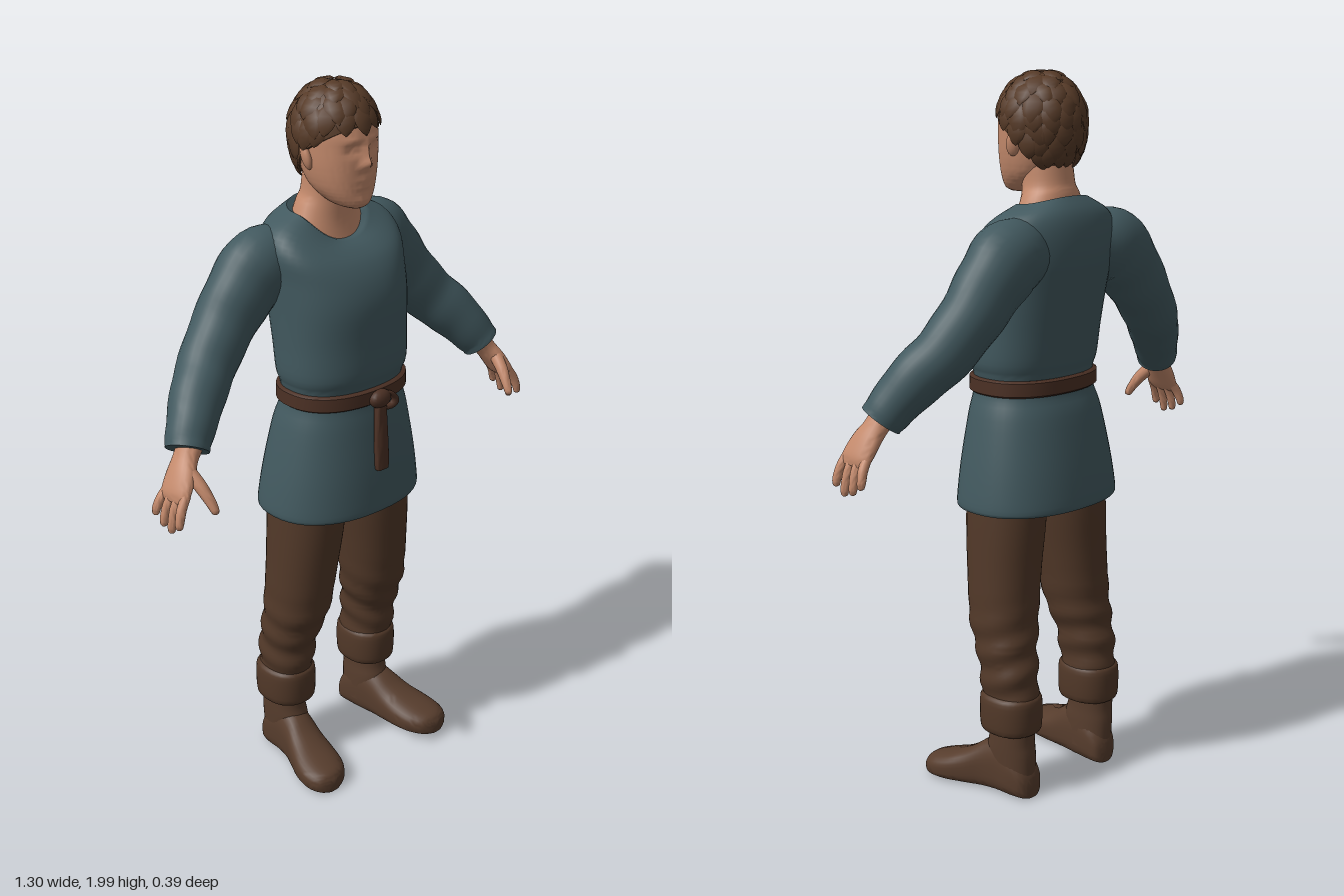
import * as THREE from 'three';
import { mergeGeometries, toCreasedNormals } from 'three/addons/utils/BufferGeometryUtils.js';

const mat = (name, color) => Object.assign(new THREE.MeshStandardMaterial({ color }), { name });
const V = (x, y, z) => new THREE.Vector3(x, y, z);

// Smooth interpolation of rows of numbers, n steps per span
function spline(rows, n) {
  const out = [], at = i => rows[Math.min(Math.max(i, 0), rows.length - 1)];
  for (let i = 0; i < rows.length - 1; i++) for (let k = 0; k < n; k++) {
    const t = k / n;
    out.push(rows[i].map((b, j) => {
      const a = at(i - 1)[j], c = at(i + 1)[j], d = at(i + 2)[j];
      return b + 0.5 * t * (c - a + t * (2 * a - 5 * b + 4 * c - d + t * (3 * (b - c) + d - a)));
    }));
  }
  out.push(rows[rows.length - 1]);
  return out;
}

// Skin over rings; place(row, angle, index) gives each point, capY lifts the end cap centres
function loft(rows, seg, place, capY = [0, 0], crease = 0.8) {
  const pos = [], idx = [], last = rows.length - 1;
  rows.forEach((r, i) => {
    for (let k = 0; k < seg; k++) pos.push(...place(r, k / seg * Math.PI * 2, i).toArray());
  });
  const id = (i, k) => i * seg + k % seg;
  for (let i = 0; i < last; i++) for (let k = 0; k < seg; k++) {
    idx.push(id(i, k), id(i + 1, k), id(i, k + 1), id(i + 1, k), id(i + 1, k + 1), id(i, k + 1));
  }
  [0, last].forEach((i, e) => {
    const c = [0, 0, 0];
    for (let k = 0; k < seg; k++) for (let j = 0; j < 3; j++) c[j] += pos[id(i, k) * 3 + j] / seg;
    c[1] += capY[e];
    const ci = pos.length / 3;
    pos.push(...c);
    for (let k = 0; k < seg; k++) idx.push(ci, id(i, k + (e ? 1 : 0)), id(i, k + (e ? 0 : 1)));
  });
  const g = new THREE.BufferGeometry();
  g.setAttribute('position', new THREE.Float32BufferAttribute(pos, 3));
  g.setIndex(idx);
  return toCreasedNormals(g, crease);
}

const sq = (v, e) => Math.sign(v) * Math.abs(v) ** (2 / e);

// Level ring: [y, centre x, half width, front z, back z, front drop]
const level = (e = 2.2) => ([y, cx, w, zf, zb, drop = 0], a) => {
  const s = sq(Math.sin(a), e);
  return V(cx + w * sq(Math.cos(a), e), y - (s > 0 ? drop : -drop * 0.25) * s * s, (zf + zb) / 2 + (zf - zb) / 2 * s);
};

// Tube along a path: [x, y, z, thickness radius, z radius]
function sweep(rows, n, seg, wrinkle = 0) {
  const pts = spline(rows, n), at = i => V(...pts[Math.min(Math.max(i, 0), pts.length - 1)].slice(0, 3));
  return loft(pts, seg, (r, a, i) => {
    const t = at(i + 1).sub(at(i - 1)).normalize();
    const v = V(0, 0, 1).addScaledVector(t, -t.z).normalize();
    const u = v.clone().cross(t.clone().negate());
    const f = 1 + wrinkle * Math.sin(i * 1.1 + 2 * Math.sin(a));
    return at(i).addScaledVector(u, r[3] * f * Math.cos(a)).addScaledVector(v, r[4] * f * Math.sin(a));
  });
}

// Hair shell point: polar angle from the crown, angle around from the front
function scalp(th, phi, k) {
  const s = th < Math.PI / 2 ? Math.sin(th) : 1 - 0.3 * (th - Math.PI / 2) ** 2;
  return V(0.112 * s * k * Math.sin(phi), 1.86 + 0.13 * k * Math.cos(th), -0.027 + 0.122 * s * k * Math.cos(phi));
}
const hairline = f => f > 0 ? 1.85 - 0.55 * f : 1.85 + 0.75 * Math.min(1, -f * 1.5);

function hairLocks() {
  let seed = 7;
  const rnd = () => (seed = seed * 16807 % 2147483647) / 2147483647;
  const locks = [];
  for (let k = 0; k < 8; k++) {
    const th = 0.08 + k * 0.28, count = Math.round(4 + 13 * Math.min(1, Math.sin(Math.min(th, 1.57))));
    for (let j = 0; j < count; j++) {
      const phi = (j + (k % 2) / 2 + rnd() * 0.4) / count * Math.PI * 2;
      const len = 0.5 + rnd() * 0.15, lean = (rnd() - 0.3) * 0.3, lift = 0.03 + rnd() * 0.04;
      if (th + len * 0.8 > hairline(Math.cos(phi)) + 0.12) continue;
      // rows: [along, width, thickness]
      const rows = spline([[0, 0.4, 0.02], [0.35, 1, 0.055], [0.75, 0.7, 0.045], [1, 0.03, 0.005]], 2);
      locks.push(loft(rows, 6, ([t, w, h], a) => {
        const q = th + t * len, s = Math.max(0.35, Math.sin(Math.min(q, 1.57)));
        return scalp(q, phi + (lean * t - 0.25 * w * Math.cos(a)) / s, 1 + h * Math.sin(a) + lift * t);
      }));
    }
  }
  return mergeGeometries(locks);
}

export function createModel() {
  const skin = mat('skin', 0xc48a6c), cloth = mat('tunic teal', 0x42595f), trouser = mat('trouser brown', 0x513828);
  const leather = mat('boot brown', 0x573d2d), beltMat = mat('belt brown', 0x4b3024), hairMat = mat('hair brown', 0x563a27);
  const model = new THREE.Group();
  model.name = 'man';
  const add = (parent, name, geo, m) => {
    const mesh = new THREE.Mesh(geo, m);
    mesh.name = name;
    parent.add(mesh);
    return mesh;
  };

  // Tunic body from hem to neckline
  add(model, 'tunic', loft(spline([
    [0.825, 0, 0.243, 0.163, -0.188], [0.845, 0, 0.245, 0.165, -0.19], [0.95, 0, 0.229, 0.158, -0.176],
    [1.08, 0, 0.202, 0.142, -0.15], [1.14, 0, 0.184, 0.132, -0.13], [1.19, 0, 0.182, 0.132, -0.13],
    [1.23, 0, 0.194, 0.143, -0.14], [1.32, 0, 0.196, 0.143, -0.155], [1.42, 0, 0.2, 0.143, -0.175, 0.005],
    [1.5, 0, 0.205, 0.127, -0.19, 0.02], [1.57, 0, 0.212, 0.098, -0.187, 0.04], [1.62, 0, 0.185, 0.062, -0.172, 0.058],
    [1.655, 0, 0.113, 0.028, -0.142, 0.075]].map(r => [...r, 0].slice(0, 6)), 4), 48, level(2.3), [0.06, -0.06]), cloth);

  // Belt with knot, loop and hanging end
  add(model, 'belt', loft([[1.142, 0, 0.186, 0.137, -0.136], [1.147, 0, 0.193, 0.144, -0.142],
    [1.183, 0, 0.192, 0.144, -0.142], [1.188, 0, 0.185, 0.137, -0.136]], 48, level(2.3)), beltMat);
  const knot = add(model, 'beltKnot', new THREE.SphereGeometry(1, 16, 12), beltMat);
  knot.scale.set(0.036, 0.026, 0.022);
  knot.position.set(0.005, 1.158, 0.148);
  const loop = add(model, 'beltLoop', new THREE.TorusGeometry(0.03, 0.01, 8, 20), beltMat);
  loop.scale.set(1.3, 0.7, 1);
  loop.rotation.z = -0.35;
  loop.position.set(0.025, 1.148, 0.148);
  add(model, 'beltEnd', loft(spline([[0.955, 0, 0.014, 0.171, 0.153], [0.965, 0, 0.022, 0.173, 0.153],
    [1.06, 0.002, 0.021, 0.167, 0.145], [1.15, 0.006, 0.016, 0.16, 0.135]], 3), 16, level(4)), beltMat);

  // Neck and head, the face shaped by soft bumps [x, y, spread x, spread y, depth]
  add(model, 'neck', loft(spline([[1.625, 0, 0.108, 0.022, -0.132, 0.07], [1.67, 0, 0.088, 0.01, -0.125, 0.05],
    [1.7, 0, 0.074, 0.01, -0.118, 0.02], [1.76, 0, 0.07, 0.01, -0.11, 0], [1.82, 0, 0.06, 0, -0.1, 0]], 4), 32, level()), skin);
  const bumps = [[0, 1.797, 0.013, 0.016, 0.02], [0, 1.83, 0.01, 0.022, 0.012], [0, 1.754, 0.022, 0.006, 0.006],
    [0, 1.735, 0.02, 0.006, 0.005], [0, 1.697, 0.024, 0.014, 0.005]];
  for (const s of [-1, 1]) bumps.push([s * 0.036, 1.832, 0.018, 0.012, -0.011], [s * 0.036, 1.83, 0.009, 0.006, 0.005],
    [s * 0.037, 1.858, 0.024, 0.008, 0.006], [s * 0.016, 1.79, 0.007, 0.008, 0.007]);
  const ring = level(2.25);
  add(model, 'head', loft(spline([[1.675, 0, 0.025, 0.076, 0.015], [1.685, 0, 0.048, 0.085, -0.02],
    [1.705, 0, 0.067, 0.088, -0.055], [1.735, 0, 0.083, 0.09, -0.09], [1.78, 0, 0.094, 0.092, -0.115],
    [1.83, 0, 0.099, 0.092, -0.13], [1.88, 0, 0.1, 0.088, -0.138], [1.925, 0, 0.088, 0.068, -0.13],
    [1.965, 0, 0.05, 0.02, -0.09]], 6), 72, (r, a) => {
    const p = ring(r, a);
    let dz = 0;
    if (Math.sin(a) > 0) for (const [x, y, sx, sy, d] of bumps) dz += d * Math.exp(-(((p.x - x) / sx) ** 2) - ((p.y - y) / sy) ** 2);
    p.z += dz;
    return p;
  }, [0, 0], 1.2), skin);

  // Hair: a close shell under overlapping pointed locks
  const shell = [];
  for (let i = 0; i <= 12; i++) shell.push([1 - i / 12]);
  add(model, 'hairShell', loft(shell, 48, ([t], a) => scalp(Math.max(0.01, t * hairline(Math.sin(a))), Math.PI / 2 - a, 1)), hairMat);
  add(model, 'hairLocks', hairLocks(), hairMat);

  // Limbs, built for the left side and mirrored
  for (const [side, s] of [['left', 1], ['right', -1]]) {
    const half = new THREE.Group();
    half.name = side + 'Side';
    half.scale.x = s;
    model.add(half);

    const ear = add(half, 'ear', new THREE.SphereGeometry(1, 16, 12), skin);
    ear.scale.set(0.012, 0.034, 0.02);
    ear.position.set(0.102, 1.808, -0.022);
    ear.rotation.set(-0.2, 0.35, -0.15);

    add(half, 'sleeve', sweep([[0.12, 1.53, -0.09, 0.085, 0.08], [0.2, 1.52, -0.098, 0.107, 0.09],
      [0.265, 1.465, -0.1, 0.1, 0.084], [0.335, 1.385, -0.095, 0.088, 0.079], [0.41, 1.3, -0.073, 0.081, 0.075],
      [0.475, 1.235, -0.035, 0.075, 0.07], [0.53, 1.165, 0, 0.063, 0.061], [0.548, 1.137, 0.013, 0.058, 0.058]], 5, 28, 0.015), cloth);

    // Hand with four fingers and a thumb
    const hand = new THREE.Group();
    hand.name = 'hand';
    half.add(hand);
    add(hand, 'palm', sweep([[0.53, 1.16, 0.012, 0.034, 0.038], [0.56, 1.12, 0.02, 0.028, 0.038], [0.585, 1.085, 0.031, 0.026, 0.048],
      [0.61, 1.045, 0.04, 0.021, 0.052], [0.621, 1.025, 0.042, 0.01, 0.044]], 4, 24), skin);
    [0.078, 0.098, 0.09, 0.07].forEach((len, i) => {
      const z = 0.078 - i * 0.025, dz = (1.3 - i) * 0.007;
      add(hand, 'finger', sweep([[0.606, 1.05, z, 0.013, 0.013], [0.626, 1.05 - len * 0.4, z + dz * 0.5, 0.0135, 0.013],
        [0.637, 1.05 - len * 0.8, z + dz, 0.012, 0.0115], [0.639, 1.05 - len, z + dz, 0.009, 0.009],
        [0.639, 1.045 - len, z + dz, 0.002, 0.002]], 3, 12), skin);
    });
    add(hand, 'thumb', sweep([[0.575, 1.1, 0.05, 0.018, 0.02], [0.566, 1.065, 0.088, 0.017, 0.018], [0.558, 1.03, 0.115, 0.014, 0.014],
      [0.554, 1.005, 0.13, 0.01, 0.01], [0.553, 1, 0.132, 0.002, 0.002]], 3, 12), skin);

    // Trouser leg with soft folds below the knee, and turned-up cuff
    const legRing = level(2.2);
    add(half, 'trouserLeg', loft(spline([[0.26, 0.162, 0.068, 0.015, -0.145], [0.35, 0.162, 0.073, 0.024, -0.143],
      [0.42, 0.158, 0.08, 0.038, -0.132], [0.5, 0.149, 0.092, 0.066, -0.122], [0.65, 0.136, 0.098, 0.086, -0.12],
      [0.8, 0.123, 0.103, 0.1, -0.125], [0.95, 0.115, 0.1, 0.1, -0.12]], 7), 32, (r, a) => {
      const f = 0.004 * Math.sin(r[0] * 75 + 2 * Math.sin(a + 0.6)) * THREE.MathUtils.smoothstep(0.62 - r[0], 0, 0.2);
      return legRing([r[0], r[1], r[2] + f, r[3] + f, r[4] - f], a);
    }), trouser);
    add(half, 'trouserCuff', loft(spline([[0.19, 0.162, 0.066, 0.01, -0.142], [0.198, 0.162, 0.076, 0.02, -0.153],
      [0.245, 0.162, 0.079, 0.023, -0.156], [0.288, 0.162, 0.077, 0.021, -0.154], [0.3, 0.162, 0.067, 0.012, -0.144]], 3), 32, level(2.3)), trouser);

    // Boot: shaft, then foot from heel to toe as [z, centre x, half width, height]
    add(half, 'bootShaft', loft(spline([[0.04, 0.16, 0.05, 0, -0.143], [0.12, 0.163, 0.053, 0.008, -0.146],
      [0.165, 0.165, 0.053, -0.002, -0.143], [0.23, 0.165, 0.054, -0.004, -0.146]], 4), 28, level()), leather);
    add(half, 'bootFoot', loft(spline([[-0.147, 0.157, 0.022, 0.06], [-0.135, 0.158, 0.042, 0.09], [-0.1, 0.161, 0.052, 0.14],
      [-0.05, 0.164, 0.053, 0.165], [0, 0.172, 0.055, 0.145], [0.05, 0.184, 0.064, 0.11], [0.1, 0.196, 0.072, 0.086],
      [0.15, 0.205, 0.069, 0.07], [0.185, 0.21, 0.05, 0.057], [0.199, 0.212, 0.022, 0.042]], 4), 32, ([z, cx, w, h], a) => {
      const v = -sq(Math.sin(a), v0(a)), x = cx + w * sq(Math.cos(a), v0(a));
      return V(x, h * (0.5 + 0.5 * v), z);
    }), leather);
  }
  return model;
}

// Squarer section on the sole, rounder on the instep
const v0 = a => Math.sin(a) > 0 ? 4 : 2.2;
